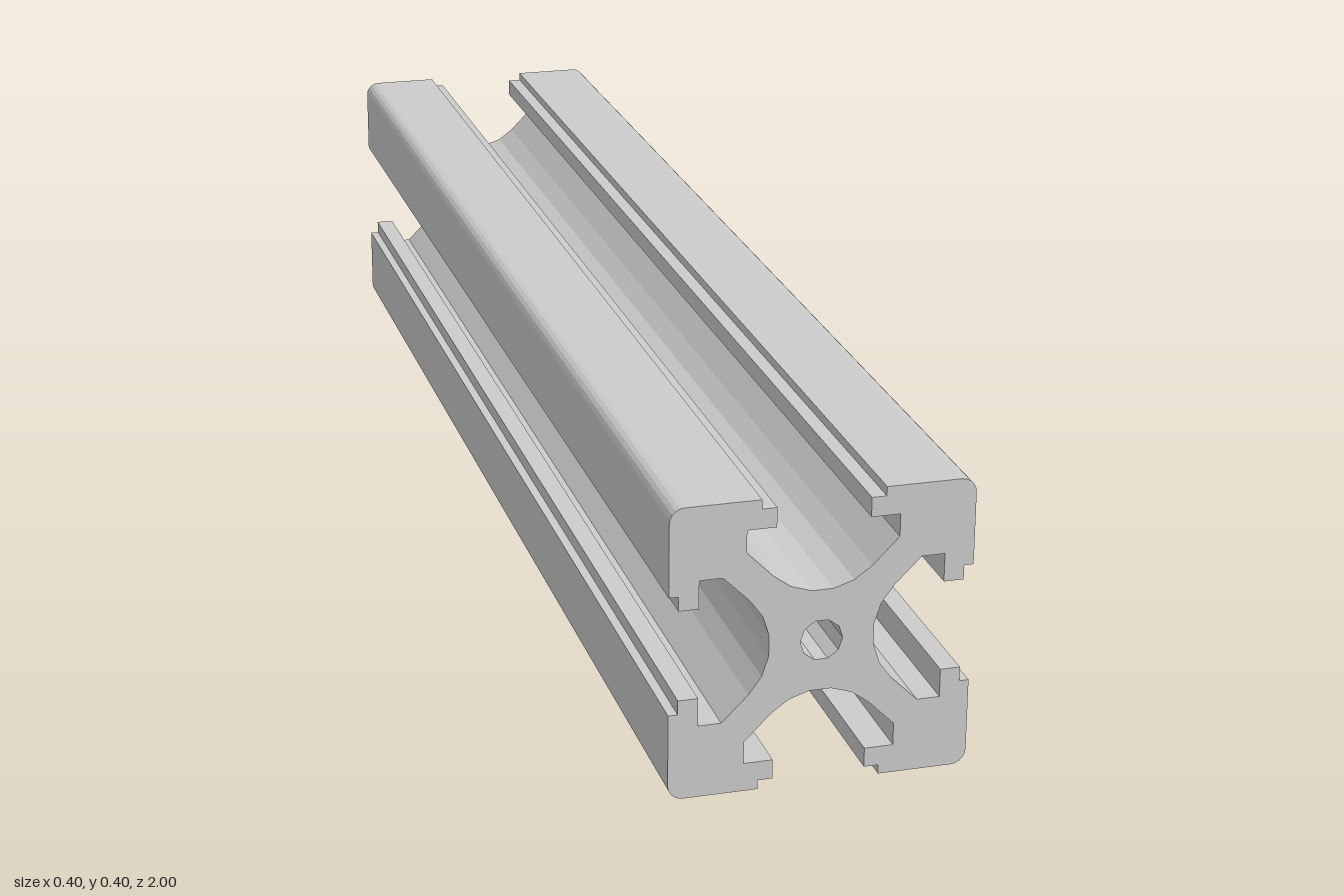
import * as THREE from 'three';

// Arc points around (cx, cy), angles in degrees
function arc(cx, cy, r, from, to, steps) {
  return Array.from({ length: steps + 1 }, (_, i) => {
    const a = THREE.MathUtils.degToRad(from + (to - from) * i / steps);
    return new THREE.Vector2(cx + r * Math.cos(a), cy + r * Math.sin(a));
  });
}

export function createModel() {
  const group = new THREE.Group();
  group.name = 'slottedBeam';

  // Right half of the top slot: stepped lip, undercut, start of the diagonal web
  const lip = [
    [0.081, 0.2], [0.081, 0.1875], [0.0615, 0.1875],
    [0.0615, 0.161], [0.1, 0.161], [0.1, 0.1305],
  ].map(([x, y]) => new THREE.Vector2(x, y));
  const mirroredLip = lip.map((p) => new THREE.Vector2(-p.x, p.y)).reverse();

  // One side: slot with curved floor, then the rounded outer corner
  const side = [
    ...lip,
    ...arc(0, 0.16, 0.0918, -45, -135, 5),
    ...mirroredLip,
    ...arc(-0.18, 0.18, 0.02, 90, 180, 5),
  ];

  // The same side repeated around the centre
  const outline = [];
  const centre = new THREE.Vector2();
  for (let k = 0; k < 4; k++) {
    outline.push(...side.map((p) => p.clone().rotateAround(centre, k * Math.PI / 2)));
  }

  // Profile with its centre bore, extruded along z
  const profile = new THREE.Shape(outline);
  profile.holes.push(new THREE.Path(arc(0, 0, 0.028, 360, 36, 9)));
  const geometry = new THREE.ExtrudeGeometry(profile, { depth: 2, bevelEnabled: false });
  geometry.translate(0, 0.2, -1);

  const beam = new THREE.Mesh(geometry, new THREE.MeshStandardMaterial({ color: 0xcccccc }));
  beam.name = 'extrudedBeam';
  group.add(beam);
  return group;
}
